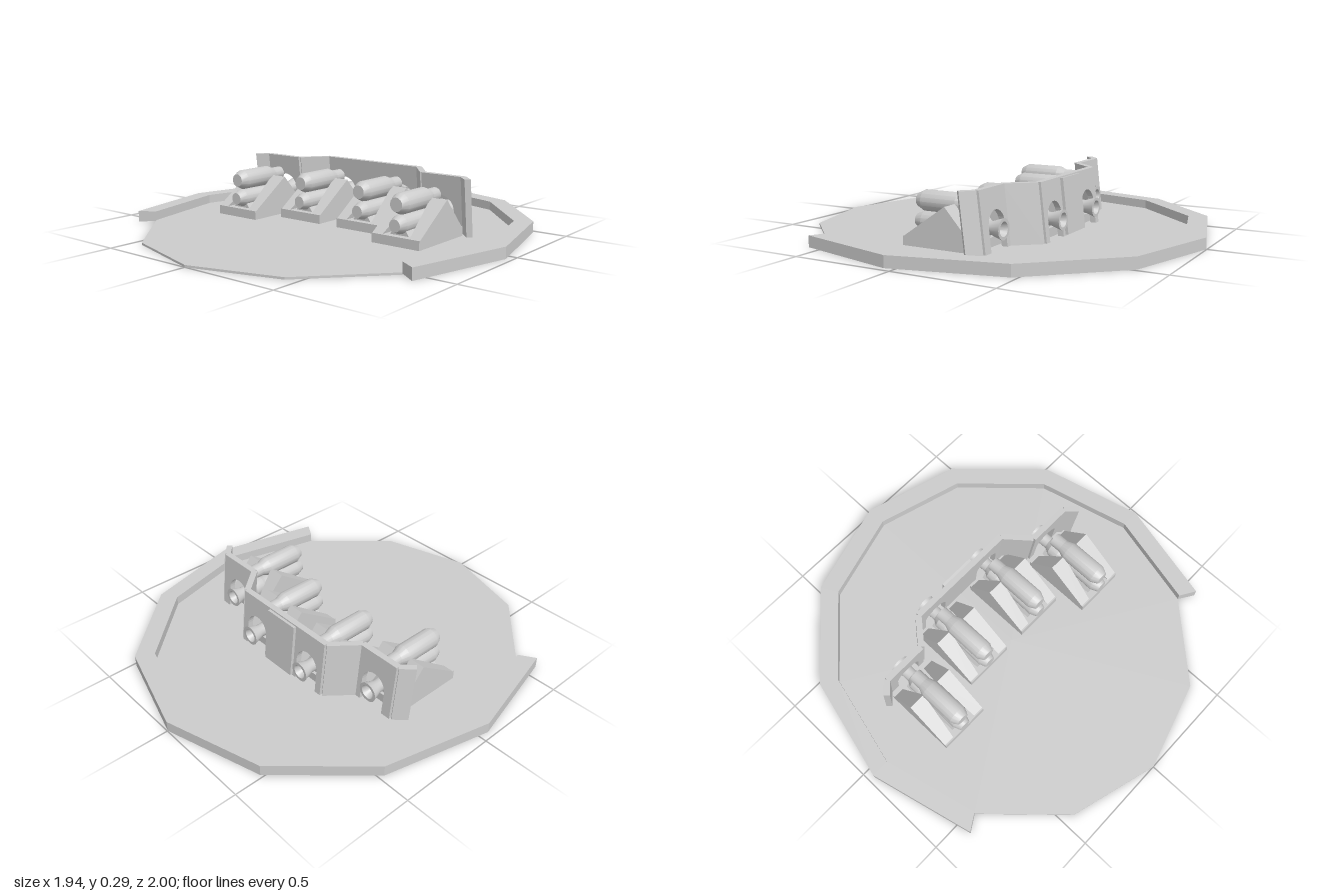
import * as THREE from 'three';
import { toCreasedNormals } from 'three/addons/utils/BufferGeometryUtils.js';
import { ConvexGeometry } from 'three/addons/geometries/ConvexGeometry.js';

const flat = new THREE.MeshStandardMaterial({ color: 0xcccccc, flatShading: true, side: THREE.DoubleSide });
const smooth = new THREE.MeshStandardMaterial({ color: 0xcccccc, side: THREE.DoubleSide });

function add(parent, name, geometry, material = flat) {
  const mesh = new THREE.Mesh(geometry, material);
  mesh.name = name;
  parent.add(mesh);
  return mesh;
}

// Turned part along z; profile is [z, radius] from back to front
function turned(profile) {
  const pts = profile.map(([z, r]) => new THREE.Vector2(r, z));
  return toCreasedNormals(new THREE.LatheGeometry(pts, 16).rotateX(Math.PI / 2), 0.5);
}

const hull = (points) => new ConvexGeometry(points.map((p) => new THREE.Vector3(...p)));

// Wall panel between two plan points, with arched notches at given distances along it
function panel([x0, z0], [x1, z1], notches = []) {
  const length = Math.hypot(x1 - x0, z1 - z0), top = 0.28, w = 0.07, h = 0.11, t = 0.03;
  const s = new THREE.Shape();
  s.moveTo(0, 0);
  for (const c of notches) {
    s.lineTo(c - w, 0);
    s.lineTo(c - w, h);
    s.absarc(c, h, w, Math.PI, 0, true);
    s.lineTo(c + w, 0);
  }
  s.lineTo(length, 0);
  s.lineTo(length, top);
  s.lineTo(0, top);
  s.closePath();
  const g = new THREE.ExtrudeGeometry(s, { depth: t, bevelEnabled: false, curveSegments: 8 });
  g.translate(0, 0.01, -t / 2);
  g.rotateY(-Math.atan2(z1 - z0, x1 - x0));
  g.translate(x0, 0, z0);
  // The wall leans forward toward its top
  const p = g.attributes.position;
  for (let i = 0; i < p.count; i++) p.setZ(i, p.getZ(i) + (p.getY(i) - 0.29) * 0.12);
  g.computeVertexNormals();
  return g;
}

function createGun() {
  const gun = new THREE.Group();
  gun.name = 'gun';

  // Base slab and the two sloping side cheeks
  add(gun, 'gunBase', new THREE.BoxGeometry(0.26, 0.045, 0.37)).position.set(0, 0.0325, 0.02);
  for (const s of [-1, 1]) {
    add(gun, 'gunCheek', hull([
      [s * 0.13, 0.05, 0.205], [s * 0.075, 0.05, 0.205],
      [s * 0.13, 0.05, -0.16], [s * 0.075, 0.05, -0.16],
      [s * 0.13, 0.205, -0.02], [s * 0.042, 0.205, -0.02],
    ]));
  }

  // Pedestal under the lower tube
  add(gun, 'pedestal', hull([-1, 1].flatMap((s) => [0.17, -0.15].flatMap((z) => [
    [s * 0.055, 0.05, z], [s * 0.02, 0.1, z],
  ]))));

  // Upper barrel with chamfered muzzle
  add(gun, 'upperBarrel', turned([
    [-0.12, 0], [-0.12, 0.035], [-0.06, 0.035], [-0.02, 0.05],
    [0.165, 0.05], [0.2, 0.033], [0.2, 0],
  ]), smooth).position.y = 0.2;

  // Lower tube ending in a flared, open nozzle at the back
  add(gun, 'lowerTube', turned([
    [-0.2, 0], [-0.2, 0.02], [-0.245, 0.035], [-0.245, 0.05], [-0.19, 0.032],
    [-0.15, 0.032], [-0.12, 0.05], [-0.07, 0.05], [-0.05, 0.04],
    [0.17, 0.045], [0.21, 0.03], [0.21, 0],
  ]), smooth).position.y = 0.105;
  return gun;
}

export function createModel() {
  const model = new THREE.Group();
  model.name = 'gunEmplacement';

  // Twelve-sided floor
  const floor = add(model, 'floor', new THREE.CylinderGeometry(1, 1, 0.01, 12));
  floor.scale.set(0.88, 1, 0.95);
  floor.position.set(0, 0.005, 0.05);

  // Raised rim, open at the front and underneath
  const rim = new THREE.Group();
  rim.name = 'rim';
  rim.scale.set(0.88, 1, 0.95);
  rim.position.z = 0.05;
  model.add(rim);
  const inner = 1, outer = 1.103, rimTop = 0.055;
  const section = [[outer, 0], [outer, rimTop], [inner, rimTop], [inner, 0.005]].map((p) => new THREE.Vector2(...p));
  add(rim, 'rimWall', new THREE.LatheGeometry(section, 8, Math.PI / 3, Math.PI * 4 / 3).toNonIndexed());
  for (const s of [-1, 1]) {
    add(rim, 'rimEnd', new THREE.ShapeGeometry(new THREE.Shape(section)))
      .rotation.y = s > 0 ? -Math.PI / 6 : Math.PI * 7 / 6;
  }

  // Angled shield wall, notched where the tubes pass through
  const shield = new THREE.Group();
  shield.name = 'shieldWall';
  model.add(shield);
  const tip = [0.675, -0.12], elbow = [0.62, -0.175], bend = [0.395, -0.175], back = [0.29, -0.3];
  const flip = ([x, z]) => [-x, z];
  add(shield, 'centrePanel', panel(flip(back), back, [0.105, 0.475]));
  add(shield, 'centrePlate', new THREE.BoxGeometry(0.19, 0.27, 0.02)
    .rotateX(Math.atan(0.12)).translate(0, 0.15, -0.337));
  add(shield, 'sidePanel', panel(bend, elbow, [0.105]));
  add(shield, 'sidePanel', panel(flip(elbow), flip(bend), [0.12]));
  add(shield, 'slantPanel', panel(back, bend));
  add(shield, 'slantPanel', panel(flip(bend), flip(back)));
  add(shield, 'endPanel', panel(elbow, tip));
  add(shield, 'endPanel', panel(flip(tip), flip(elbow)));

  // Four guns, the inner pair set further back
  for (const [x, z] of [[0.5, 0], [0.185, -0.135]]) {
    for (const s of [-1, 1]) {
      const gun = createGun();
      gun.position.set(s * x, 0, z);
      model.add(gun);
    }
  }
  return model;
}
